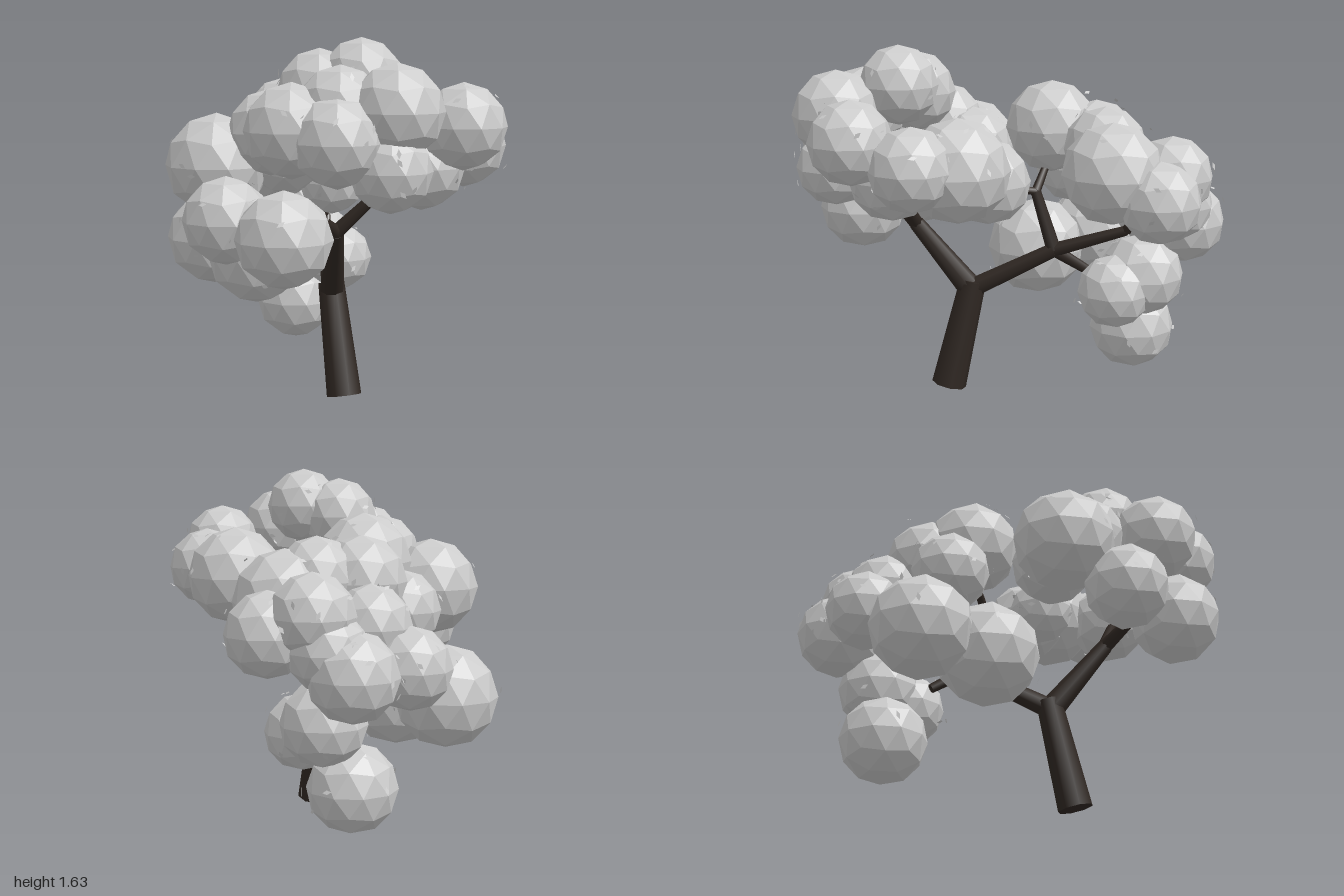
import * as THREE from 'three';
import { mergeGeometries } from 'three/addons/utils/BufferGeometryUtils.js';

const UP = new THREE.Vector3(0, 1, 0);
const bark = new THREE.MeshStandardMaterial({ color: 0x2f2722 });
const foliage = new THREE.MeshStandardMaterial({ color: 0xcccccc, flatShading: true });
const leafMat = new THREE.MeshStandardMaterial({ color: 0xcccccc, flatShading: true, side: THREE.DoubleSide });

// Foliage clumps: x, y, z, radius
const frontCrown = [
  [0.04, 1.45, 0.49, 0.18], [0.10, 1.33, 0.765, 0.20], [0.07, 1.09, 0.78, 0.175],
  [0.42, 1.26, 0.70, 0.185], [0.53, 1.16, 0.45, 0.185], [0.42, 1.13, 0.25, 0.23],
  [0.28, 1.05, 0.11, 0.19], [0.30, 1.08, 0.53, 0.19], [0.02, 0.98, 0.13, 0.15],
  [-0.20, 1.12, 0.14, 0.19], [-0.51, 1.07, 0.13, 0.23], [-0.53, 0.86, 0.40, 0.19],
  [-0.35, 0.81, 0.67, 0.205], [-0.30, 1.25, 0.61, 0.20], [-0.30, 1.22, 0.27, 0.19],
  [-0.15, 1.21, 0.76, 0.19], [-0.12, 1.40, 0.41, 0.185], [-0.10, 1.33, 0.64, 0.19],
];
const backCrown = [
  [-0.09, 1.23, -0.22, 0.215], [0.31, 1.08, -0.44, 0.23], [-0.03, 1.16, -0.42, 0.20],
  [-0.02, 0.99, -0.62, 0.18], [0.17, 1.17, -0.43, 0.19], [0.25, 1.05, -0.72, 0.185],
  [0.42, 0.97, -0.63, 0.185], [0.10, 0.81, -0.81, 0.195], [-0.17, 0.82, -0.71, 0.18],
  [-0.23, 1.02, -0.34, 0.18], [0.19, 0.91, -0.75, 0.175],
];
const lowClumps = [
  [-0.40, 0.65, -0.48, 0.23], [-0.26, 0.61, -0.17, 0.235], [0.24, 0.52, -0.47, 0.17],
  [0.18, 0.58, -0.61, 0.19], [0.05, 0.29, -0.59, 0.20],
];

// Limbs: name, start, end, start radius, end radius
const fork = [0.01, 0.48, 0.17];
const frontFork = [-0.05, 0.79, 0.42];
const backFork = [0.09, 0.68, -0.21];
const backTip = [0.19, 0.79, -0.53];
const upperFork = [0.05, 0.95, -0.13];
const limbs = [
  ['trunk', [0.035, 0.018, 0.28], [0.01, 0.52, 0.16], 0.082, 0.062],
  ['frontBranch', fork, frontFork, 0.058, 0.036],
  ['frontTwig', frontFork, [-0.19, 0.89, 0.53], 0.034, 0.024],
  ['frontTwig', frontFork, [0.12, 0.97, 0.50], 0.034, 0.024],
  ['backBranch', fork, backFork, 0.048, 0.036],
  ['backBranch', backFork, backTip, 0.034, 0.024],
  ['backTwig', backTip, [0.28, 0.96, -0.60], 0.024, 0.018],
  ['upperTwig', backFork, upperFork, 0.034, 0.024],
  ['upperTwig', upperFork, [-0.05, 1.08, -0.20], 0.022, 0.016],
  ['upperTwig', upperFork, [0.07, 0.97, -0.03], 0.02, 0.016],
  ['lowerTwig', backFork, [0.08, 0.57, -0.38], 0.03, 0.022],
];

function seeded(seed) {
  return () => (seed = (seed * 16807) % 2147483647) / 2147483647;
}

// Tapered eight-sided limb between two points
function makeLimb([name, from, to, r0, r1]) {
  const a = new THREE.Vector3(...from), b = new THREE.Vector3(...to);
  const dir = b.clone().sub(a);
  const mesh = new THREE.Mesh(new THREE.CylinderGeometry(r1, r0, dir.length(), 8), bark);
  mesh.name = name;
  mesh.position.copy(a).add(b).multiplyScalar(0.5);
  mesh.quaternion.setFromUnitVectors(UP, dir.normalize());
  return mesh;
}

// Small diamond leaves floating just off a clump
function leafGeometries([x, y, z, r], rand, count) {
  const list = [];
  for (let i = 0; i < count; i++) {
    const h = -0.5 + 1.4 * rand(), t = rand() * Math.PI * 2, s = Math.sqrt(1 - h * h);
    const dir = new THREE.Vector3(s * Math.cos(t), h, s * Math.sin(t));
    const leaf = new THREE.CircleGeometry(0.02, 4);
    leaf.scale(1, 0.5, 1).rotateZ(rand() * Math.PI).rotateX((rand() - 0.5) * 0.8);
    leaf.applyQuaternion(new THREE.Quaternion().setFromUnitVectors(new THREE.Vector3(0, 0, 1), dir));
    dir.multiplyScalar(r * (1 + 0.15 * rand()));
    list.push(leaf.translate(x + dir.x, y + dir.y, z + dir.z));
  }
  return list;
}

export function createModel() {
  const tree = new THREE.Group();
  tree.name = 'tree';

  // Trunk and branches
  const wood = new THREE.Group();
  wood.name = 'trunkAndBranches';
  limbs.forEach((limb) => wood.add(makeLimb(limb)));
  tree.add(wood);

  // Faceted foliage clumps, one icosahedron corner pointing up
  const ball = new THREE.IcosahedronGeometry(1, 1).rotateZ(Math.atan(2 / (1 + Math.sqrt(5))));
  const crowns = { frontCrown, backCrown, lowClumps };
  for (const [name, clumps] of Object.entries(crowns)) {
    const crown = new THREE.Group();
    crown.name = name;
    clumps.forEach(([x, y, z, r]) => {
      const clump = new THREE.Mesh(ball, foliage);
      clump.name = 'foliageClump';
      clump.position.set(x, y, z);
      clump.scale.setScalar(r);
      crown.add(clump);
    });
    tree.add(crown);
  }

  // Loose leaves
  const rand = seeded(71);
  const all = [...frontCrown, ...backCrown, ...lowClumps];
  const leaves = new THREE.Mesh(mergeGeometries(all.flatMap((c) => leafGeometries(c, rand, 7))), leafMat);
  leaves.name = 'looseLeaves';
  tree.add(leaves);
  return tree;
}
